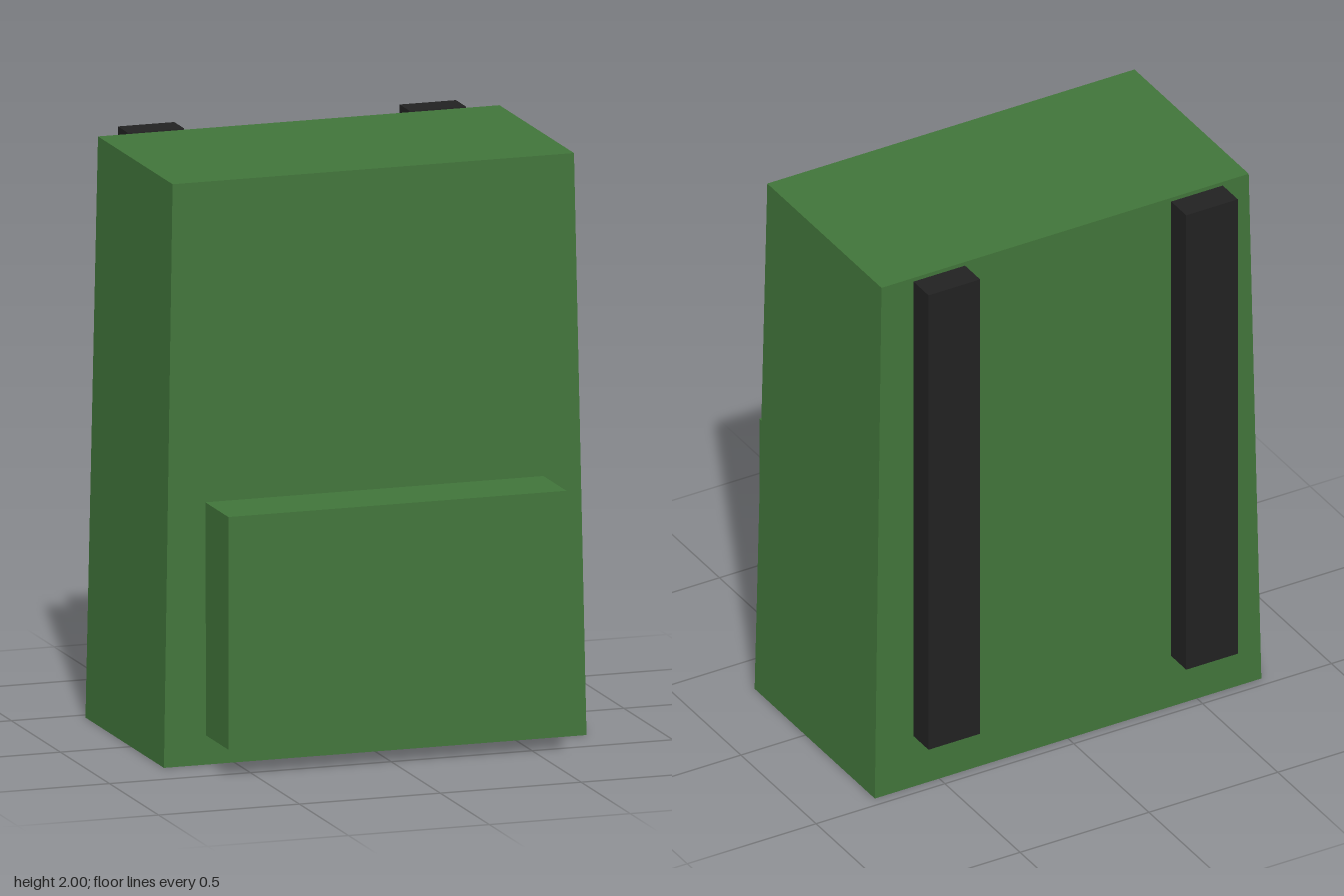
import * as THREE from 'three';

export function createModel() {
  const model = new THREE.Group();
  model.name = 'backpack';

  const green = new THREE.MeshStandardMaterial({ color: 0x41753a });
  green.name = 'green fabric';
  const black = new THREE.MeshStandardMaterial({ color: 0x222222 });
  black.name = 'black webbing';

  const add = (name, geometry, material, x, y, z) => {
    const mesh = new THREE.Mesh(geometry, material);
    mesh.name = name;
    mesh.position.set(x, y, z);
    model.add(mesh);
    return mesh;
  };

  // Main bag: a box narrowing by 5% towards the top
  const bag = new THREE.BoxGeometry(1.5, 2, 0.8);
  const p = bag.attributes.position;
  for (let i = 0; i < p.count; i++) {
    if (p.getY(i) > 0) p.setXYZ(i, p.getX(i) * 0.95, p.getY(i), p.getZ(i) * 0.95);
  }
  bag.computeVertexNormals();
  add('bag', bag, green, 0, 1, -0.0625);

  // Front pocket, sunk slightly into the bag
  add('frontPocket', new THREE.BoxGeometry(1.2, 0.8, 0.25), green, 0, 0.5, 0.4375);

  // Shoulder straps on the back
  for (const [name, side] of [['leftStrap', 1], ['rightStrap', -1]]) {
    add(name, new THREE.BoxGeometry(0.2, 1.8, 0.1), black, side * 0.5, 1.1, -0.5125);
  }

  return model;
}
